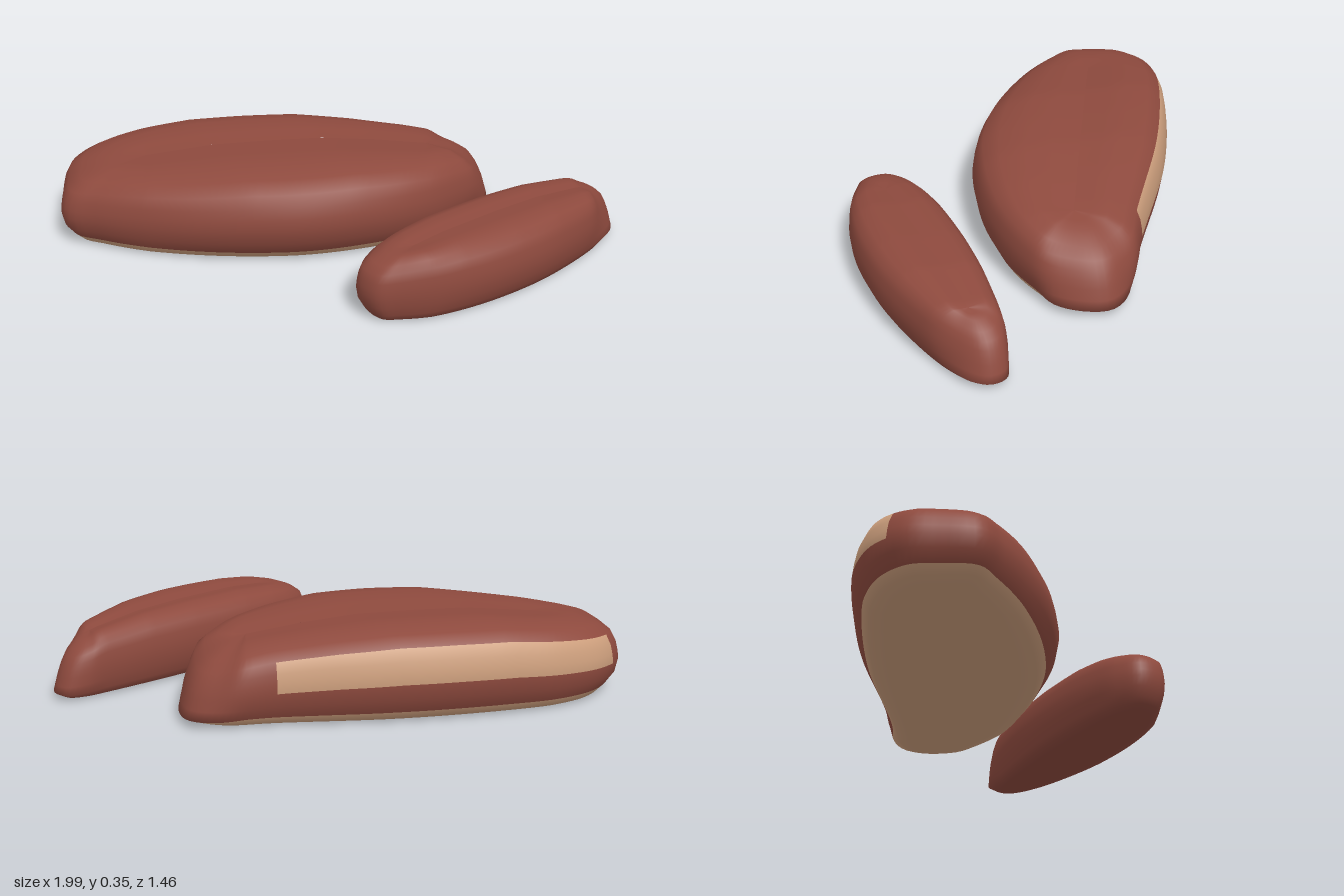
import * as THREE from 'three';

const red = new THREE.MeshStandardMaterial({ color: 0x8e4a3e });
red.name = 'russet skin';
const tan = new THREE.MeshStandardMaterial({ color: 0xcc9e7c });
tan.name = 'pale tan';

// Cross-section from underside to top: [inset toward the spine (0..1), share of local height]
const LEVELS = [
  [1, 0.02], [0.4, 0.004], [0.2, 0.04], [0.12, 0.14], [0.03, 0.3], [0, 0.48],
  [0.015, 0.6], [0.04, 0.72], [0.1, 0.85], [0.25, 0.94], [0.5, 1], [0.75, 0.98], [1, 0.965],
];
const UNDERSIDE = 3; // bands below this index belong to the underside
const STRIP = [5, 8]; // bands of the pale strip on the back
const N = 144;

// Linear interpolation in a short [x, value] table
function lookup(table, x) {
  if (x <= table[0][0]) return table[0][1];
  for (let i = 1; i < table.length; i++) {
    const [x0, v0] = table[i - 1], [x1, v1] = table[i];
    if (x <= x1) return v0 + ((v1 - v0) * (x - x0)) / (x1 - x0);
  }
  return table[table.length - 1][1];
}

// Rounded slab: a plan outline stacked in rings that close in on a spine
function slab({ name, outline, spine, heights, slant, strip, paleUnderside }) {
  const curve = new THREE.CatmullRomCurve3(
    outline.map(([x, z]) => new THREE.Vector3(x, 0, z)), true, 'centripetal');
  const rim = curve.getSpacedPoints(N).slice(0, N);
  const line = new THREE.Line3(
    new THREE.Vector3(spine[0], 0, spine[1]), new THREE.Vector3(spine[2], 0, spine[3]));
  const pos = [];
  for (const [inset, h] of LEVELS) {
    for (const p of rim) {
      const q = line.closestPointToPoint(p, true, new THREE.Vector3());
      // The +x end is cut at a slant, reaching farthest at its foot
      const w = THREE.MathUtils.smoothstep(p.x, slant[0], slant[1]);
      const f = h < 0.48 && inset < 0.2 ? inset * (1 - w) : inset;
      const v = p.clone().lerp(q, f);
      const y = h * lookup(heights, v.x);
      pos.push(v.x - w * 0.3 * y * (1 - f), y, v.z);
    }
  }

  // Sort the faces by colour
  const skin = [], pale = [];
  for (let j = 0; j < LEVELS.length - 1; j++) {
    for (let i = 0; i < N; i++) {
      const k = (i + 1) % N;
      const mid = (rim[i].x + rim[k].x) / 2;
      const onBack = rim[k].x > rim[i].x;
      const inStrip = strip && onBack && j >= STRIP[0] && j < STRIP[1]
        && mid > strip[0] && mid < strip[1];
      const target = inStrip || (paleUnderside && j < UNDERSIDE) ? pale : skin;
      const a = j * N + i, b = j * N + k;
      target.push(a, a + N, b, b, a + N, b + N);
    }
  }
  const geo = new THREE.BufferGeometry();
  geo.setAttribute('position', new THREE.Float32BufferAttribute(pos, 3));
  geo.setIndex([...skin, ...pale]);
  geo.addGroup(0, skin.length, 0);
  if (pale.length) geo.addGroup(skin.length, pale.length, 1);
  geo.computeVertexNormals();
  const mesh = new THREE.Mesh(geo, [red, tan]);
  mesh.name = name;
  return mesh;
}

export function createModel() {
  const group = new THREE.Group();
  group.name = 'twoSlabs';

  // Large piece with a pale strip along its back and a pale underside
  group.add(slab({
    name: 'largePiece',
    outline: [
      [-1, -0.4], [-0.96, -0.55], [-0.91, -0.65], [-0.78, -0.72], [-0.6, -0.73], [-0.4, -0.69],
      [0, -0.55], [0.42, -0.33], [0.61, -0.24], [0.695, -0.13], [0.63, 0.05], [0.5, 0.13],
      [0.3, 0.2], [0.07, 0.22], [-0.2, 0.18], [-0.4, 0.1], [-0.6, -0.02], [-0.8, -0.18],
      [-0.92, -0.3],
    ],
    spine: [-0.65, -0.42, 0.4, -0.07],
    heights: [[-1, 0.26], [-0.89, 0.285], [-0.8, 0.3], [-0.6, 0.325], [-0.4, 0.35], [-0.2, 0.355],
      [0, 0.355], [0.2, 0.335], [0.4, 0.305], [0.55, 0.27], [0.7, 0.23]],
    slant: [0.5, 0.68],
    strip: [-0.84, 0.42],
    paleUnderside: true,
  }));

  // Small piece, one colour all over
  group.add(slab({
    name: 'smallPiece',
    outline: [
      [-0.195, 0.53], [-0.12, 0.455], [0, 0.405], [0.2, 0.355], [0.5, 0.312], [0.8, 0.295],
      [0.9, 0.295], [0.98, 0.32], [1, 0.38], [0.97, 0.44], [0.85, 0.53], [0.7, 0.61],
      [0.5, 0.685], [0.25, 0.725], [0.05, 0.715], [-0.1, 0.67], [-0.17, 0.635],
    ],
    spine: [0.02, 0.565, 0.82, 0.42],
    heights: [[-0.2, 0.23], [-0.12, 0.24], [0, 0.26], [0.15, 0.275], [0.4, 0.28], [0.6, 0.275],
      [0.8, 0.25], [0.9, 0.22], [1, 0.19]],
    slant: [0.78, 0.98],
  }));
  return group;
}
